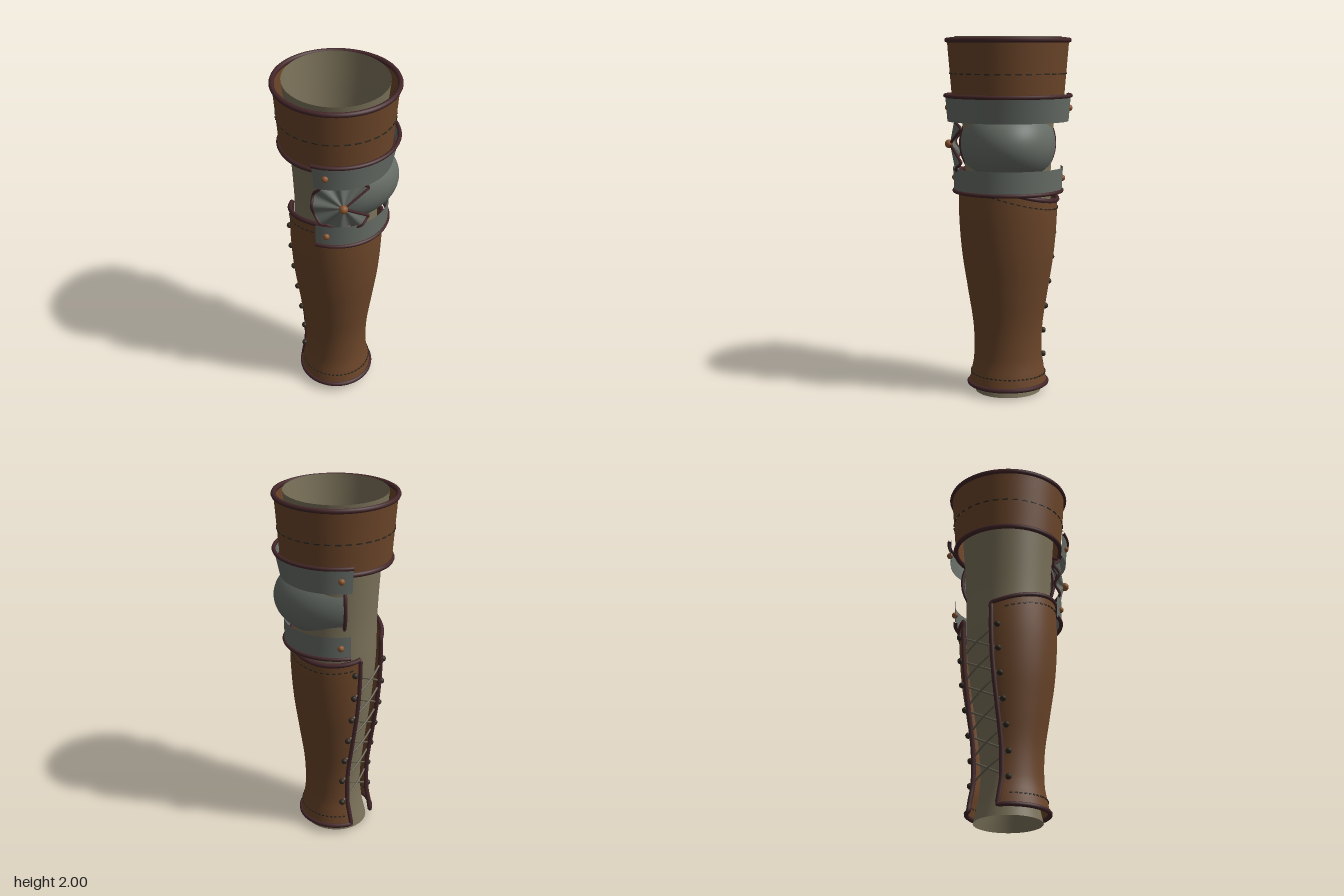
import * as THREE from 'three';
import { mergeVertices, mergeGeometries } from 'three/addons/utils/BufferGeometryUtils.js';

const rad = THREE.MathUtils.degToRad;
const mix = THREE.MathUtils.lerp;
const V = (x, y, z) => new THREE.Vector3(x, y, z);

const material = (name, color, side = THREE.FrontSide) => {
  const m = new THREE.MeshStandardMaterial({ color, side });
  m.name = name;
  return m;
};

// Piecewise smooth radius from a short list of [radius, y] pairs
function profile(pairs) {
  return (y) => {
    if (y <= pairs[0][1]) return pairs[0][0];
    for (let i = 1; i < pairs.length; i++) {
      const [r0, y0] = pairs[i - 1], [r1, y1] = pairs[i];
      if (y <= y1) {
        const t = (y - y0) / (y1 - y0);
        const slope = (a, b) => (b[0] - a[0]) / (b[1] - a[1]);
        const m0 = slope(pairs[Math.max(i - 2, 0)], pairs[i]) * (y1 - y0);
        const m1 = slope(pairs[i - 1], pairs[Math.min(i + 1, pairs.length - 1)]) * (y1 - y0);
        const t2 = t * t, t3 = t2 * t;
        return (2 * t3 - 3 * t2 + 1) * r0 + (t3 - 2 * t2 + t) * m0 + (3 * t2 - 2 * t3) * r1 + (t3 - t2) * m1;
      }
    }
    return pairs[pairs.length - 1][0];
  };
}

// Smooth sheet over f(u, v), with u and v from 0 to 1
function sheet(nu, nv, f) {
  const pos = [], index = [];
  for (let j = 0; j <= nv; j++)
    for (let i = 0; i <= nu; i++) pos.push(...f(i / nu, j / nv).toArray());
  for (let j = 0; j < nv; j++)
    for (let i = 0; i < nu; i++) {
      const a = j * (nu + 1) + i, b = a + nu + 1;
      index.push(a, b, a + 1, b, b + 1, a + 1);
    }
  let g = new THREE.BufferGeometry();
  g.setAttribute('position', new THREE.Float32BufferAttribute(pos, 3));
  g.setIndex(index);
  g = mergeVertices(g, 1e-5);
  g.computeVertexNormals();
  return g;
}

const sample = (n, f, end = true) =>
  Array.from({ length: end ? n + 1 : n }, (_, i) => f(i / n));

function cord(points, radius, closed = false) {
  const curve = new THREE.CatmullRomCurve3(points, closed, 'centripetal');
  return new THREE.TubeGeometry(curve, Math.min(points.length * 2, 360), radius, 8, closed);
}

// Walks around the border of a sheet
function border(f, nu, nv) {
  return [
    ...sample(nu, (t) => f(t, 0), false), ...sample(nv, (t) => f(1, t), false),
    ...sample(nu, (t) => f(1 - t, 1), false), ...sample(nv, (t) => f(0, 1 - t), false),
  ];
}

// Row of short raised dashes along f(t)
function stitches(f, n) {
  const dash = new THREE.Object3D();
  return mergeGeometries(sample(n, (t) => {
    const a = f(t), b = f(t + 0.58 / n);
    dash.position.copy(a).lerp(b, 0.5);
    dash.lookAt(b);
    dash.updateMatrix();
    return new THREE.BoxGeometry(0.007, 0.007, a.distanceTo(b)).applyMatrix4(dash.matrix);
  }, false));
}

export function createModel() {
  const group = new THREE.Group();
  const leather = material('brown leather', 0x6b4529, THREE.DoubleSide);
  const trim = material('dark red trim', 0x432629);
  const steel = material('grey steel', 0x666c66, THREE.DoubleSide);
  const cloth = material('beige lining', 0x7a7159, THREE.DoubleSide);
  const copper = material('copper', 0x8a5530);
  const thread = material('dark thread', 0x2e2820);
  const lace = material('lace cord', 0x676150);

  const add = (name, geometry, mat) => {
    const mesh = new THREE.Mesh(geometry, mat);
    mesh.name = name;
    group.add(mesh);
    return mesh;
  };
  const ring = (r, y, a, sx, sz) => V(r * sx * Math.cos(a), y, r * sz * Math.sin(a));
  const stud = (name, p, r) => add(name, new THREE.SphereGeometry(r, 14, 10), copper).position.copy(p);

  // Inner sleeve
  const sleeveR = profile([[0.18, 0], [0.155, 0.12], [0.143, 0.27], [0.165, 0.5], [0.205, 0.8],
    [0.228, 1.05], [0.232, 1.3], [0.25, 1.6], [0.268, 1.82], [0.287, 2]]);
  add('innerSleeve', sheet(64, 40, (u, v) => ring(sleeveR(2 * v), 2 * v, u * 2 * Math.PI, 0.98, 1.03)), cloth);

  // Upper cuff with trim and stitching
  const cuff = (y, a, out = 0) => ring(mix(0.303, 0.331, (y - 1.63) / 0.35) + out, y, a, 0.99, 1.01);
  add('upperCuff', sheet(64, 4, (u, v) => cuff(mix(1.63, 1.98, v), u * 2 * Math.PI)), leather);
  for (const [name, y] of [['cuffTopTrim', 1.98], ['cuffBottomTrim', 1.63]])
    add(name, cord(sample(60, (t) => cuff(y, t * 2 * Math.PI), false), 0.014, true), trim);
  add('cuffStitching', stitches((t) => cuff(1.8, t * 2 * Math.PI, 0.001), 36), thread);

  // Forearm leather, open along a laced gap
  const armR = profile([[0.213, 0.05], [0.203, 0.11], [0.187, 0.2], [0.189, 0.38], [0.22, 0.6],
    [0.249, 0.8], [0.264, 1.0], [0.265, 1.15], [0.26, 1.27]]);
  const gapAt = rad(222);
  const arm = (y, a, out = 0) => ring(armR(y) + out, y, a, 0.96, 1.035);
  const armTop = (a) => 1.185 + 0.08 * Math.cos(a - rad(105));
  const armAngle = (u, y) => {
    const half = 0.103 / armR(y);
    return mix(gapAt + half, gapAt + 2 * Math.PI - half, u);
  };
  const armPoint = (u, v, out = 0) => {
    const y = mix(0.05, armTop(armAngle(u, mix(0.05, 1.18, v))), v);
    return arm(y, armAngle(u, y), out);
  };
  add('forearmLeather', sheet(72, 36, (u, v) => armPoint(u, v)), leather);
  add('forearmTrim', cord(border(armPoint, 50, 30), 0.013, true), trim);
  add('forearmBottomStitching', stitches((t) => armPoint(mix(0.03, 0.96, t), 0.053, 0.001), 40), thread);
  add('forearmTopStitching', stitches((t) => armPoint(mix(0.03, 0.96, t), 0.955, 0.001), 40), thread);

  // Crossed laces with an eyelet at each end
  const hole = (i, side) => {
    const y = 0.2 + 0.14 * i;
    return arm(y, gapAt + side * 0.138 / armR(y), 0.009);
  };
  for (let i = 0; i < 7; i++)
    for (const side of [-1, 1]) {
      const eyelet = add('eyelet', new THREE.SphereGeometry(0.017, 10, 8), thread);
      eyelet.position.copy(hole(i, side));
      if (i === 6) continue;
      const a = hole(i, side), b = hole(i + 1, -side);
      const mid = a.clone().lerp(b, 0.5);
      const lift = side > 0 ? 0.015 : 0.004;
      mid.x += lift * Math.cos(gapAt);
      mid.z += lift * Math.sin(gapAt);
      add('lace', cord([a, mid, b], 0.0055), lace);
    }

  // Two steel straps, each trimmed on one edge and riveted at both ends
  const strap = (name, y0, y1, [x0, z0], [x1, z1], trimV) => {
    const from = rad(-101), to = rad(115.5);
    const f = (u, v) => {
      const a = mix(from, to, u);
      return V(mix(x0, x1, v) * Math.cos(a), mix(y0, y1, v), mix(z0, z1, v) * Math.sin(a));
    };
    add(name, sheet(48, 2, f), steel);
    add(name + 'Trim', cord(sample(40, (t) => f(t, trimV)), 0.011), trim);
    stud(name + 'FrontRivet', f(0.945, 0.5), 0.018);
    stud(name + 'BackRivet', f(0.05, 0.5), 0.018);
  };
  strap('upperStrap', 1.54, 1.68, [0.303, 0.335], [0.333, 0.346], 1);
  strap('lowerStrap', 1.155, 1.285, [0.285, 0.3], [0.287, 0.306], 0);

  // Elbow cup: half of a flattened shell with a trimmed border
  const cup = (u, v) => {
    const a = mix(rad(-95), rad(95), u), p = mix(rad(-73), rad(73), v), c = Math.cos(p);
    return V(0.34 * c * Math.cos(a), 1.415 + 0.23 * Math.sin(p), 0.262 * c ** 0.85 * Math.sin(a));
  };
  add('elbowCup', sheet(40, 28, cup), steel);
  add('elbowCupTrim', cord(border(cup, 24, 24), 0.011, true), trim);

  // Fluted side disc with a wedge cut out towards the cup
  const disc = (u, v) => {
    const a = mix(rad(33), rad(327), u), r = 0.162 * v;
    return V(0.02 + r * Math.cos(a), 1.415 + r * Math.sin(a),
      0.322 - 0.045 * v - 0.014 * v * Math.cos(u * 14 * Math.PI));
  };
  add('sideDisc', sheet(84, 8, disc), steel);
  add('sideDiscTrim', cord([
    ...sample(10, (t) => disc(0, t), false), ...sample(70, (t) => disc(t, 1), false),
    ...sample(10, (t) => disc(1, 1 - t), false),
  ], 0.008, true), trim);
  stud('sideDiscRivet', V(0.02, 1.415, 0.327), 0.024);

  return group;
}
